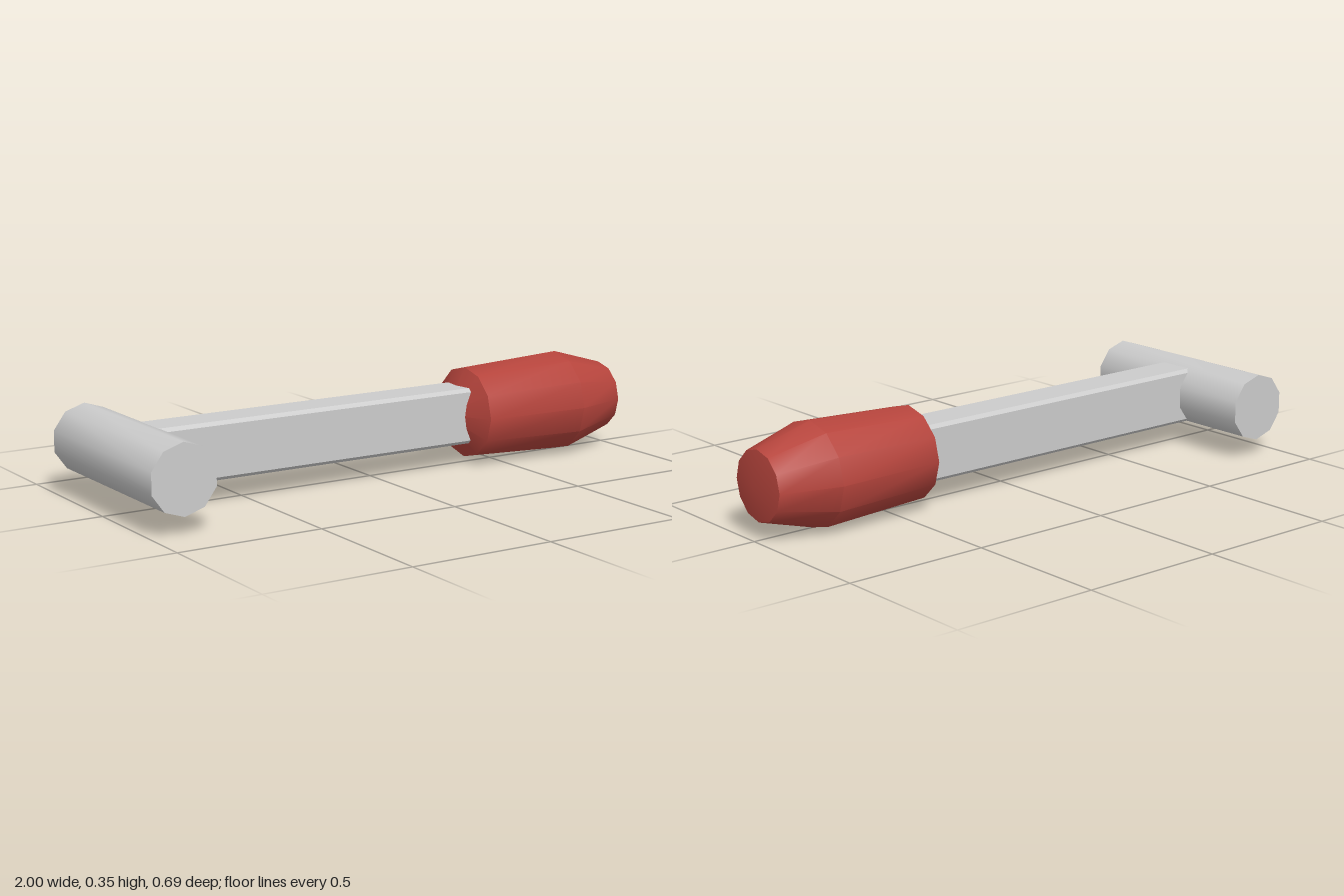
import * as THREE from 'three';
import { toCreasedNormals } from 'three/addons/utils/BufferGeometryUtils.js';

const AXIS_Y = 0.178;
const grey = new THREE.MeshStandardMaterial({ color: 0xcccccc });
const red = new THREE.MeshStandardMaterial({ color: 0xb5443c });

function part(name, geometry, material, crease) {
  const mesh = new THREE.Mesh(toCreasedNormals(geometry, crease), material);
  mesh.name = name;
  return mesh;
}

// Ten-sided cross bar running front to back
function crossHead() {
  const geometry = new THREE.CylinderGeometry(0.117, 0.117, 0.69, 10);
  geometry.rotateX(Math.PI / 2); // a corner points straight down and up
  geometry.translate(-0.89, AXIS_Y, 0);
  return part('crossHead', geometry, grey, 0.7);
}

// Rectangular bar with narrow bevelled edges
function shaft() {
  const w = 0.073, h = 0.097, b = 0.012;
  const section = new THREE.Shape([
    [w, -h + b], [w, h - b], [w - b, h], [-w + b, h],
    [-w, h - b], [-w, -h + b], [-w + b, -h], [w - b, -h],
  ].map(([x, y]) => new THREE.Vector2(x, y)));
  const geometry = new THREE.ExtrudeGeometry(section, { depth: 1.22, bevelEnabled: false });
  geometry.rotateY(Math.PI / 2);
  geometry.translate(-0.85, AXIS_Y, 0);
  return part('shaft', geometry, grey, 0.5);
}

// Twelve-sided tapered grip with coned ends
function grip() {
  const profile = [[0, 0.30], [0.158, 0.39], [0.176, 0.78], [0.118, 0.98], [0, 1.0]]
    .map(([r, x]) => new THREE.Vector2(r, x));
  const geometry = new THREE.LatheGeometry(profile, 12);
  geometry.rotateZ(-Math.PI / 2);
  geometry.translate(0, AXIS_Y, 0);
  return part('grip', geometry, red, 0.56);
}

export function createModel() {
  const model = new THREE.Group();
  model.name = 'hammer';
  model.add(crossHead(), shaft(), grip());
  return model;
}
